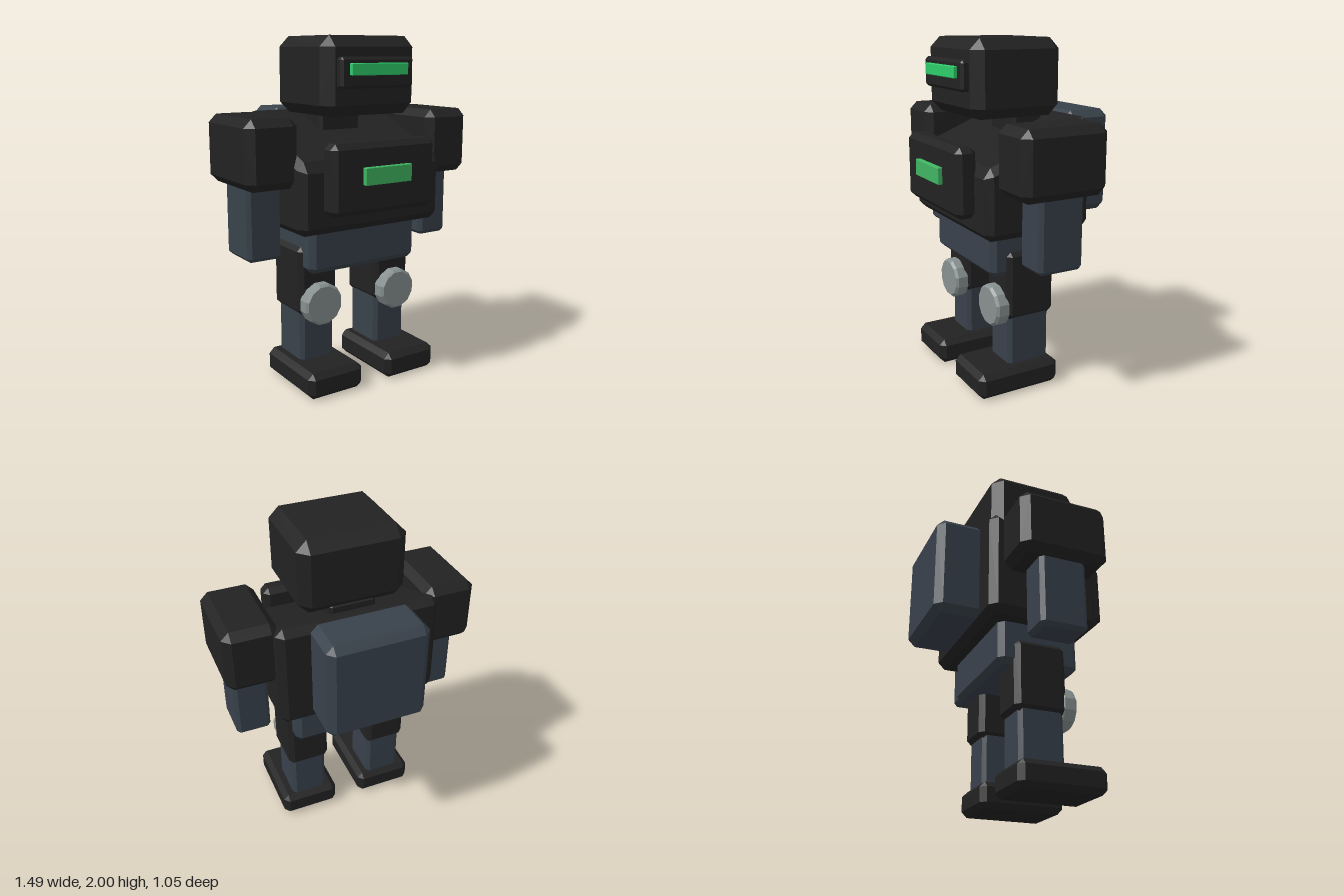
import * as THREE from 'three';
import { ConvexGeometry } from 'three/addons/geometries/ConvexGeometry.js';

const material = (name, color) => {
  const m = new THREE.MeshStandardMaterial({ color });
  m.name = name;
  return m;
};

// Box with every edge cut at 45 degrees, given by its ranges and chamfer width
function chamferBox([x0, x1], [y0, y1], [z0, z1], c) {
  const half = [(x1 - x0) / 2, (y1 - y0) / 2, (z1 - z0) / 2];
  const points = [];
  for (const sx of [-1, 1]) for (const sy of [-1, 1]) for (const sz of [-1, 1]) {
    for (let axis = 0; axis < 3; axis++) {
      const p = [0, 1, 2].map((i) => [sx, sy, sz][i] * (half[i] - (i === axis ? 0 : c)));
      points.push(new THREE.Vector3(...p));
    }
  }
  const geo = new ConvexGeometry(points);
  geo.translate((x0 + x1) / 2, (y0 + y1) / 2, (z0 + z1) / 2);
  return geo;
}

export function createModel() {
  const dark = material('dark armour', 0x222222);
  const slate = material('slate frame', 0x38414b);
  const steel = material('steel', 0x879090);
  const visorGreen = material('visor green', 0x2ecc6a);
  const chestGreen = material('chest green', 0x3fb562);

  const model = new THREE.Group();
  model.name = 'robot';
  const add = (name, geo, mat) => {
    const mesh = new THREE.Mesh(geo, mat);
    mesh.name = name;
    model.add(mesh);
    return mesh;
  };
  const box = (name, mat, x, y, z, c) => add(name, chamferBox(x, y, z, c), mat);
  const sym = (w) => [-w, w];

  // Head with visor
  box('head', dark, sym(0.31), [1.57, 2.0], [-0.185, 0.37], 0.06);
  box('visorFrame', dark, sym(0.24), [1.72, 1.887], [0.33, 0.414], 0.015);
  box('visorLight', visorGreen, sym(0.187), [1.79, 1.855], [0.4, 0.435], 0.004);
  box('neck', dark, sym(0.14), [1.4, 1.6], [-0.15, 0.04], 0.02);

  // Torso: the top slopes down towards the front
  const torso = chamferBox(sym(0.478), [0.94, 1.575], [-0.27, 0.392], 0.042);
  const pos = torso.attributes.position;
  for (let i = 0; i < pos.count; i++) {
    if (pos.getY(i) > 1.3) pos.setY(i, pos.getY(i) - 0.4 * Math.max(0, pos.getZ(i) + 0.228));
  }
  torso.computeVertexNormals();
  add('torso', torso, dark);
  box('chestPlate', dark, sym(0.345), [1.05, 1.443], [0.375, 0.498], 0.032);
  box('chestLight', chestGreen, sym(0.155), [1.215, 1.312], [0.48, 0.525], 0.004);
  box('backpack', slate, sym(0.295), [0.98, 1.585], [-0.525, -0.23], 0.042);
  box('pelvis', slate, sym(0.365), [0.695, 0.97], [-0.175, 0.305], 0.032);

  // Limbs, mirrored left and right
  for (const [side, s] of [['left', 1], ['right', -1]]) {
    const span = (a, b) => (s > 0 ? [a, b] : [-b, -a]);
    box(side + 'UpperArm', dark, span(0.437, 0.747), [1.197, 1.577], [-0.197, 0.325], 0.045);
    box(side + 'Forearm', slate, span(0.49, 0.695), [0.79, 1.26], [-0.075, 0.2], 0.022);
    box(side + 'Thigh', dark, span(0.135, 0.39), [0.43, 0.84], [-0.09, 0.217], 0.03);
    box(side + 'Shin', slate, span(0.15, 0.372), [0.12, 0.5], [-0.065, 0.2], 0.022);
    box(side + 'Foot', dark, span(0.083, 0.443), [0.005, 0.157], [-0.097, 0.42], 0.032);

    // Faceted knee disc with bevelled rims
    const profile = [[0, -0.045], [0.11, -0.045], [0.124, -0.03], [0.124, 0.03], [0.11, 0.045], [0, 0.045]]
      .map(([r, y]) => new THREE.Vector2(r, y));
    const knee = new THREE.LatheGeometry(profile, 12).toNonIndexed();
    knee.computeVertexNormals();
    knee.rotateZ(0).rotateY(Math.PI / 12).rotateX(Math.PI / 2);
    knee.translate(s * 0.262, 0.5, 0.236);
    add(side + 'KneePad', knee, steel);
  }
  return model;
}
